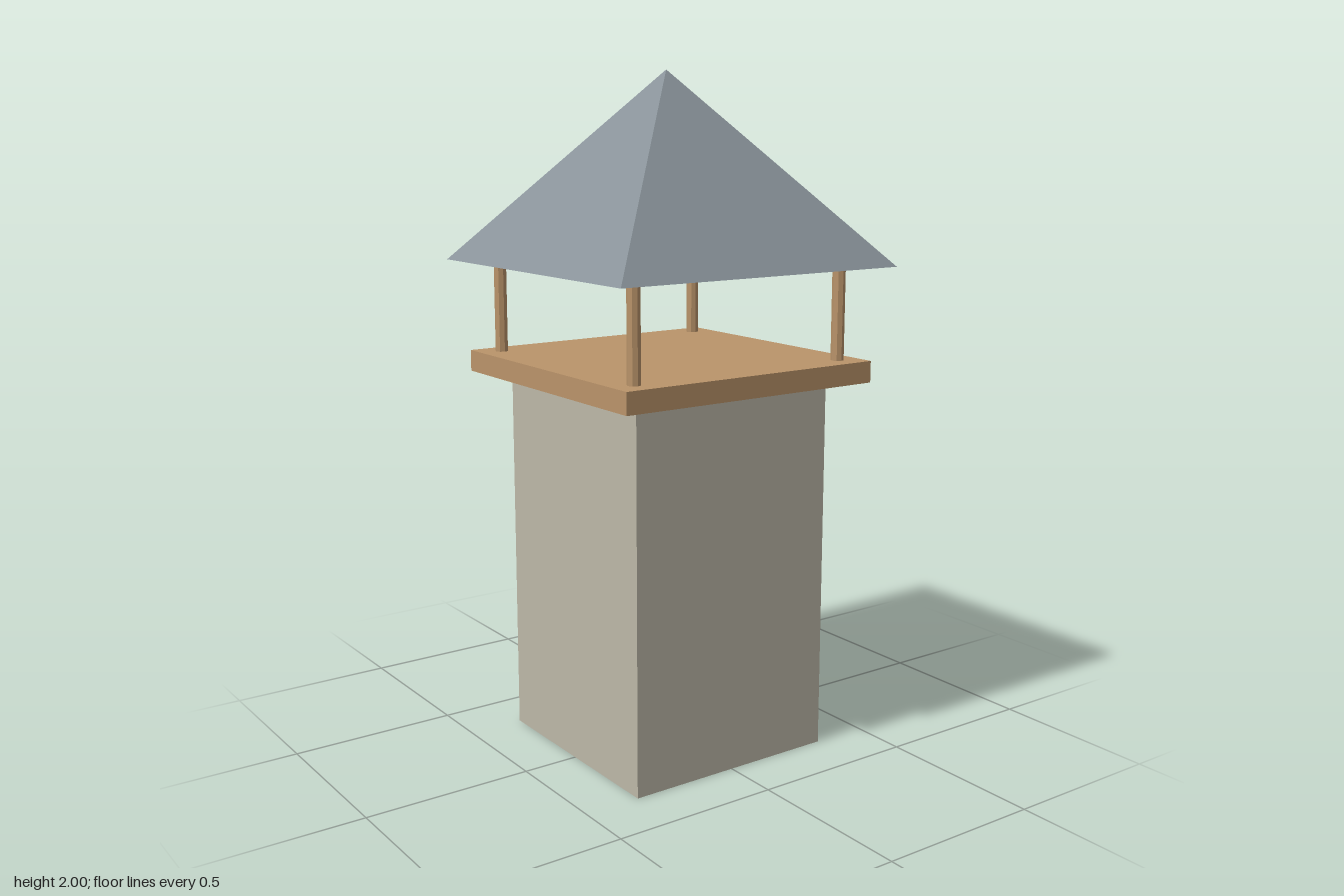
import * as THREE from 'three';

const paint = (color) => new THREE.MeshStandardMaterial({ color, flatShading: true });

export function createModel() {
  const model = new THREE.Group();
  model.name = 'tower';
  const stone = paint(0xbdb8a8);
  const wood = paint(0xba946a);
  const slate = paint(0x89939a);

  function add(name, geometry, material, x, y, z) {
    const mesh = new THREE.Mesh(geometry, material);
    mesh.name = name;
    mesh.position.set(x, y, z);
    model.add(mesh);
  }

  const deckBottom = 1.117, deckTop = 1.18, eaves = 1.452, peak = 2;

  // Square stone shaft
  add('shaft', new THREE.BoxGeometry(0.664, deckBottom, 0.664), stone, 0, deckBottom / 2, 0);

  // Overhanging wooden deck
  const deckHeight = deckTop - deckBottom;
  add('deck', new THREE.BoxGeometry(0.845, deckHeight, 0.845), wood, 0, deckBottom + deckHeight / 2, 0);

  // Four corner posts from the deck to the eaves
  const postHeight = eaves - deckBottom;
  const post = new THREE.CylinderGeometry(0.019, 0.019, postHeight, 8);
  for (const x of [-1, 1]) {
    for (const z of [-1, 1]) {
      add('post', post, wood, x * 0.354, deckBottom + postHeight / 2, z * 0.354);
    }
  }

  // Four-sided pyramid roof with a closed underside
  const roof = new THREE.ConeGeometry(0.469 * Math.SQRT2, peak - eaves, 4);
  roof.rotateY(Math.PI / 4);
  add('roof', roof, slate, 0, (eaves + peak) / 2, 0);

  return model;
}
